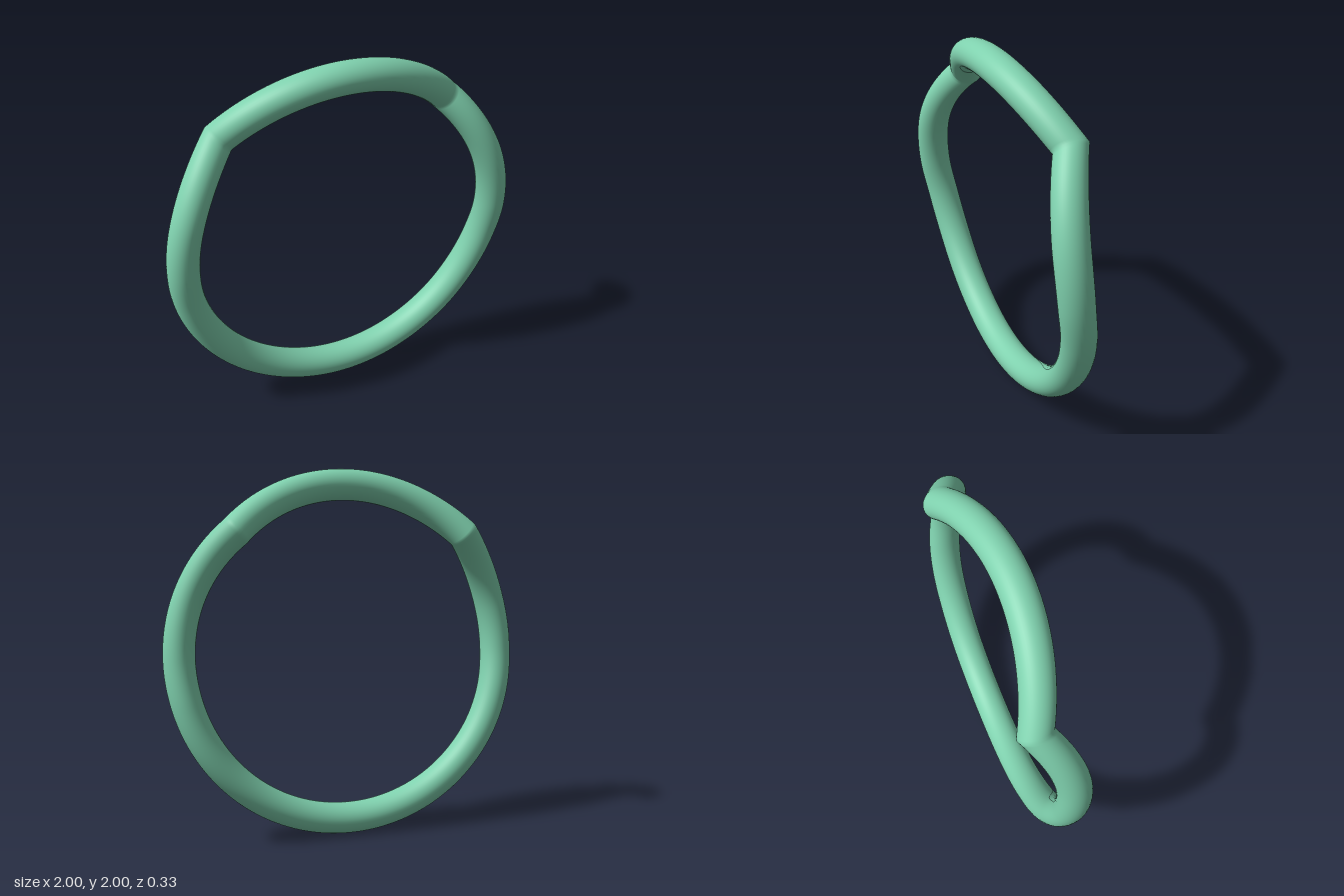
import * as THREE from 'three';
import { mergeVertices } from 'three/addons/utils/BufferGeometryUtils.js';

// Depth of the lower sweep, one value every 15 degrees from 60 to 195 (0 = top of ring)
const lowerDepths = [0.037, 0.052, 0.037, -0.002, -0.029, -0.043, -0.051, -0.053, -0.053, -0.053];
const lowerCurve = new THREE.SplineCurve(lowerDepths.map((z, i) => new THREE.Vector2(60 + 15 * i, z)));

// Depth of the tilted top arc
const topDepth = (deg) => 0.07 - 0.5 * (1 - Math.cos(THREE.MathUtils.degToRad(deg)));

// Forward offset of the ring at an angle from the top; kink is where the top arc meets the side
function depthAt(deg, kink) {
  if (deg <= kink) return topDepth(deg);
  if (deg < 75) {
    const t = (75 - deg) / (75 - kink);
    return 0.052 - (0.052 - topDepth(kink)) * t * t;
  }
  return lowerCurve.getPoint((deg - 60) / 135).y;
}

export function createModel() {
  const group = new THREE.Group();
  group.name = 'bentRing';

  // Round hoop, slightly deeper than wide, bent forward and back along its length
  const radius = 0.915, tube = 0.085;
  let geometry = new THREE.TorusGeometry(radius, tube, 40, 360);
  geometry.scale(1, 1, 0.093 / tube);
  const pos = geometry.attributes.position;
  for (let i = 0; i < pos.count; i++) {
    const x = pos.getX(i), y = pos.getY(i);
    const deg = Math.abs(THREE.MathUtils.radToDeg(Math.atan2(x, y)));
    pos.setZ(i, pos.getZ(i) + depthAt(deg, x > 0 ? 43 : 45));
  }

  // Weld the seams so the shading is continuous
  geometry.deleteAttribute('normal');
  geometry.deleteAttribute('uv');
  geometry = mergeVertices(geometry, 1e-4);
  geometry.computeVertexNormals();
  geometry.translate(0, 1, 0);

  const ring = new THREE.Mesh(geometry, new THREE.MeshStandardMaterial({ color: 0x7fd1ae }));
  ring.name = 'ring';
  group.add(ring);
  return group;
}
